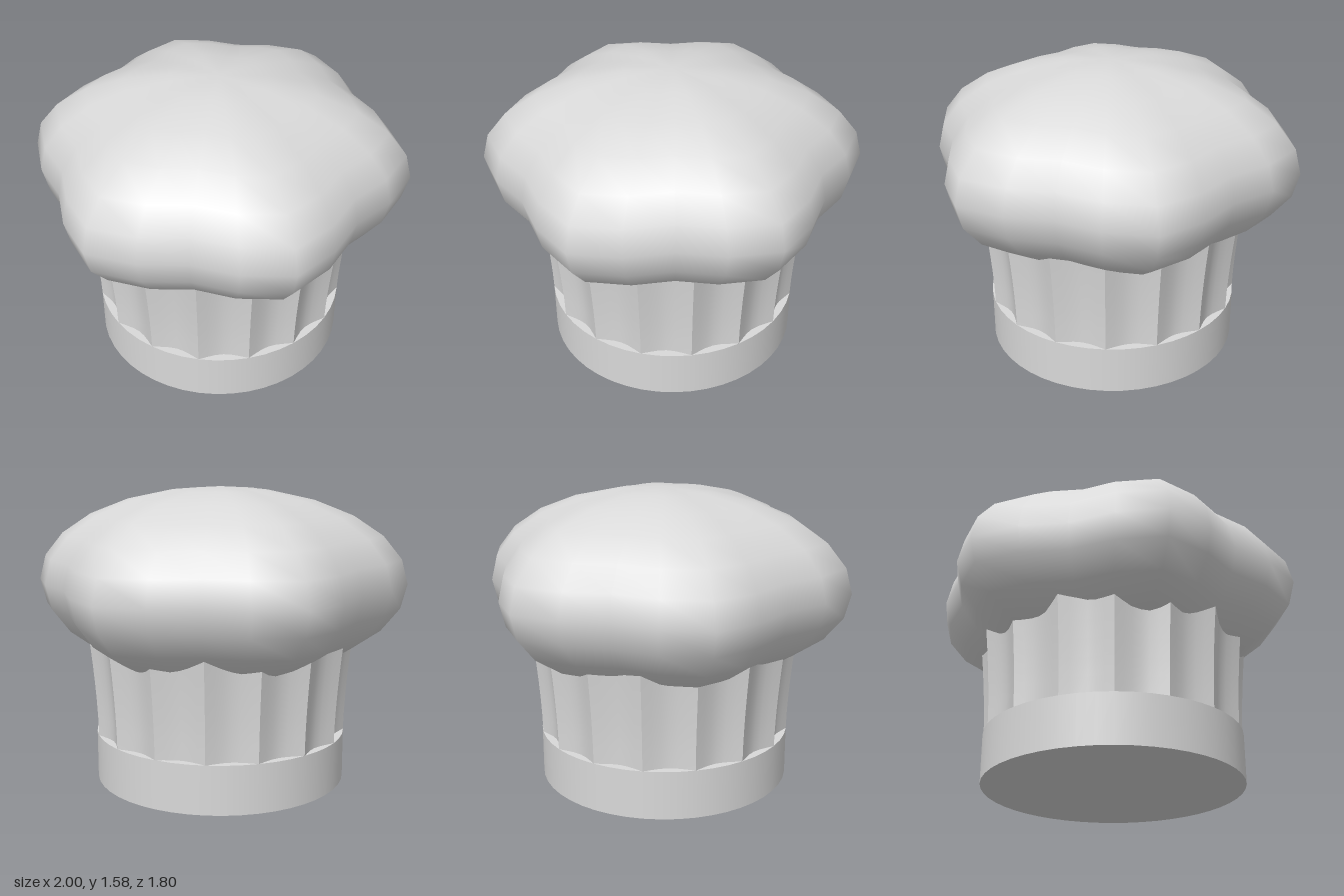
import * as THREE from 'three';
import { mergeVertices } from 'three/addons/utils/BufferGeometryUtils.js';

const BAND_RADIUS = 0.68;
const BAND_HEIGHT = 0.26;
const PLEATS = 16;

// Squashed ball whose radius swells into six lobes
function puffGeometry() {
  let geo = new THREE.SphereGeometry(1, 24, 12);
  geo.deleteAttribute('uv');
  geo.deleteAttribute('normal');
  geo = mergeVertices(geo, 1e-4);
  const p = geo.attributes.position;
  for (let i = 0; i < p.count; i++) {
    const x = p.getX(i), z = p.getZ(i);
    const swell = 0.933 + 0.067 * Math.cos(6 * Math.atan2(z, x));
    p.setXYZ(i, x * swell, p.getY(i) * 0.51, z * swell);
  }
  geo.computeVertexNormals();
  return geo;
}

// One hollow flute between two sharp ridges, flaring gently upward
function pleatGeometry() {
  const geo = new THREE.PlaneGeometry(1, 1, 6, 6);
  const p = geo.attributes.position;
  for (let i = 0; i < p.count; i++) {
    const t = p.getX(i) + 0.5;
    const v = p.getY(i) + 0.5;
    const angle = (t * Math.PI * 2) / PLEATS;
    const r = BAND_RADIUS + 0.045 * Math.pow(v, 1.6) - 0.045 * Math.sin(Math.PI * t);
    p.setXYZ(i, r * Math.sin(angle), BAND_HEIGHT + v * 0.58, r * Math.cos(angle));
  }
  geo.computeVertexNormals();
  return geo;
}

export function createModel() {
  const hat = new THREE.Group();
  hat.name = 'chefHat';
  const cloth = new THREE.MeshStandardMaterial({ color: 0xd9d9d9 });
  cloth.name = 'white cloth';
  const pleatCloth = cloth.clone();
  pleatCloth.name = 'pleat cloth';
  pleatCloth.side = THREE.DoubleSide;

  // Head band
  const band = new THREE.Mesh(
    new THREE.CylinderGeometry(BAND_RADIUS, BAND_RADIUS, BAND_HEIGHT, 48), cloth);
  band.name = 'band';
  band.position.y = BAND_HEIGHT / 2;
  hat.add(band);

  // Ring of pleats
  const pleats = new THREE.Group();
  pleats.name = 'pleats';
  const flute = pleatGeometry();
  for (let i = 0; i < PLEATS; i++) {
    const pleat = new THREE.Mesh(flute, pleatCloth);
    pleat.name = 'pleat';
    pleat.rotation.y = (i * Math.PI * 2) / PLEATS;
    pleats.add(pleat);
  }
  hat.add(pleats);

  // Puffed crown
  const puff = new THREE.Mesh(puffGeometry(), cloth);
  puff.name = 'puff';
  puff.position.y = 1.07;
  hat.add(puff);

  return hat;
}
